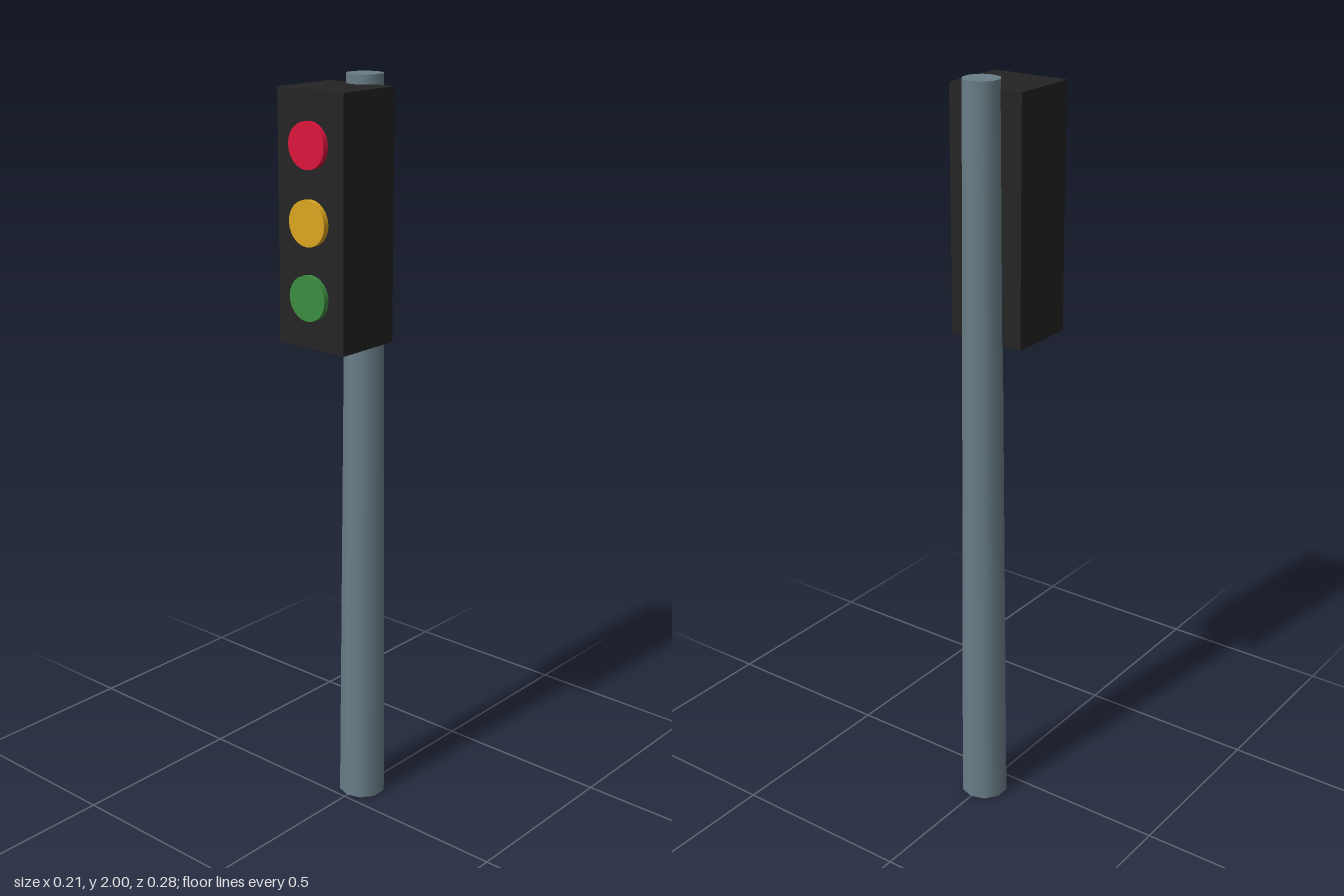
import * as THREE from 'three';

export function createModel() {
  const model = new THREE.Group();

  function add(name, geometry, color, x, y, z) {
    const mesh = new THREE.Mesh(geometry, new THREE.MeshStandardMaterial({ color }));
    mesh.name = name;
    mesh.position.set(x, y, z);
    model.add(mesh);
    return mesh;
  }

  // Tapered ten-sided pole behind the signal box
  add('pole', new THREE.CylinderGeometry(0.048, 0.065, 2, 10), 0x6a7e88, 0, 1, -0.077);

  // Signal box
  add('signalBox', new THREE.BoxGeometry(0.213, 0.638, 0.188), 0x242424, 0, 1.657, 0.031);

  // Three round lamps, set slightly proud of the box front
  const lampGeometry = new THREE.CylinderGeometry(0.058, 0.058, 0.032, 24).rotateX(Math.PI / 2);
  const lamps = [
    ['redLamp', 0xdc143c, 1.845],
    ['yellowLamp', 0xdaa520, 1.657],
    ['greenLamp', 0x3c8c40, 1.47],
  ];
  for (const [name, color, y] of lamps) add(name, lampGeometry, color, 0, y, 0.125);

  return model;
}
